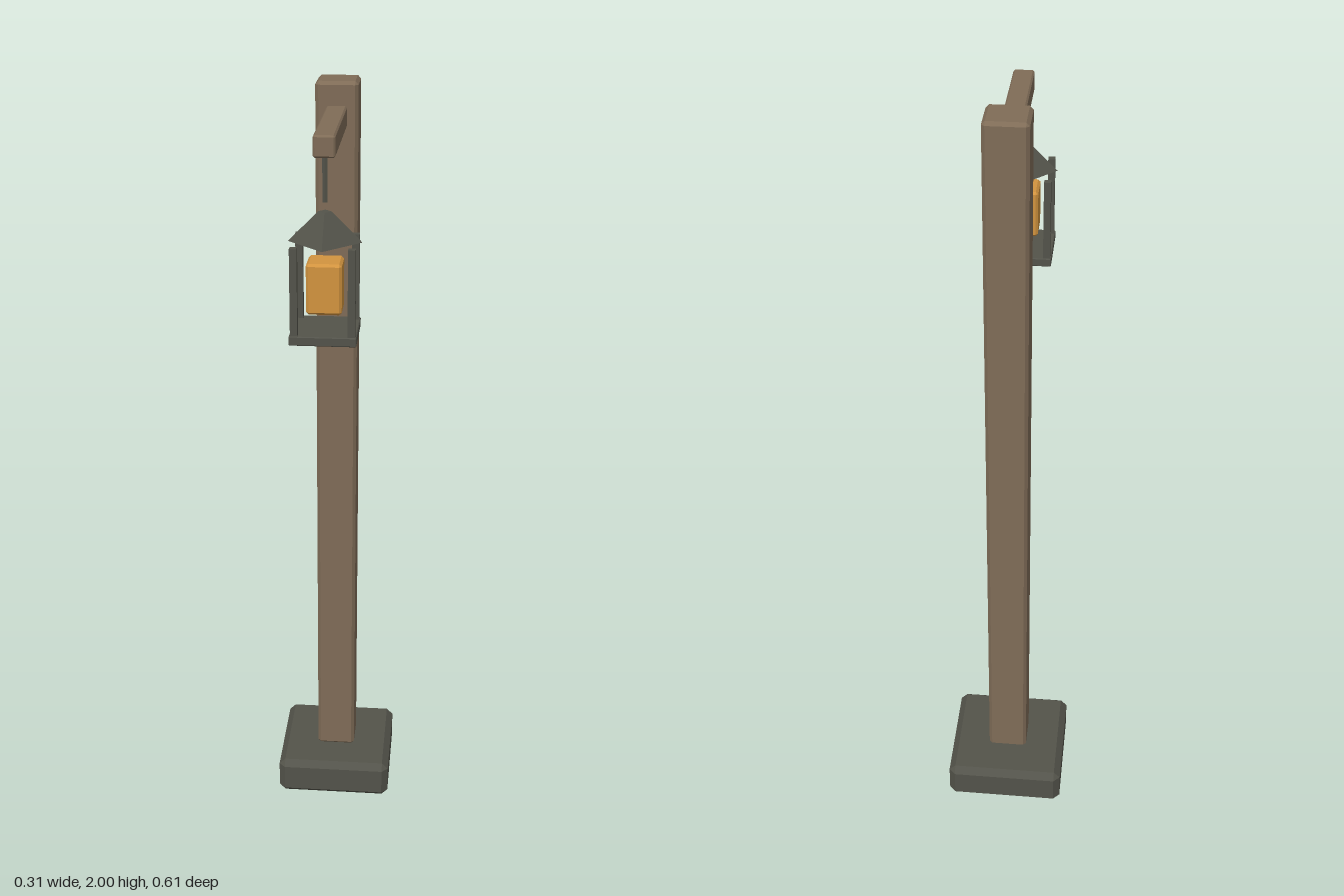
import * as THREE from 'three';
import { ConvexGeometry } from 'three/addons/geometries/ConvexGeometry.js';

// Box with every edge cut flat by c
function chamferBox(w, h, d, c) {
  const half = [w / 2, h / 2, d / 2];
  const points = [];
  for (const sx of [-1, 1]) for (const sy of [-1, 1]) for (const sz of [-1, 1]) {
    for (let axis = 0; axis < 3; axis++) {
      // one point per face meeting at this corner
      const p = half.map((v, i) => (i === axis ? v : v - c));
      points.push(new THREE.Vector3(p[0] * sx, p[1] * sy, p[2] * sz));
    }
  }
  return new ConvexGeometry(points);
}

export function createModel() {
  const model = new THREE.Group();
  model.name = 'lanternPost';

  const material = (name, color) => {
    const m = new THREE.MeshStandardMaterial({ color });
    m.name = name;
    return m;
  };
  const wood = material('wood', 0x7f6c57);
  const iron = material('darkStoneAndIron', 0x53534a);
  const glow = material('amberGlow', 0xd2943f);
  iron.flatShading = true;

  const add = (parent, name, geometry, mat, x, y, z) => {
    const mesh = new THREE.Mesh(geometry, mat);
    mesh.name = name;
    mesh.position.set(x, y, z);
    parent.add(mesh);
    return mesh;
  };

  // Foot, post and arm
  add(model, 'base', chamferBox(0.312, 0.106, 0.312, 0.017), iron, 0, 0.053, -0.15);
  add(model, 'post', chamferBox(0.104, 1.894, 0.104, 0.008), wood, 0, 1.053, -0.149);
  add(model, 'arm', chamferBox(0.05, 0.05, 0.362, 0.004), wood, 0, 1.918, 0.061);

  // Hanging lantern
  const lantern = new THREE.Group();
  lantern.name = 'lantern';
  lantern.position.z = 0.217;
  model.add(lantern);

  add(lantern, 'hanger', new THREE.CylinderGeometry(0.0065, 0.0065, 0.108, 6), iron, 0, 1.844, 0);
  add(lantern, 'roof', new THREE.CylinderGeometry(0.015, 0.085, 0.07, 4), iron, 0, 1.734, 0);
  add(lantern, 'tray', chamferBox(0.155, 0.022, 0.155, 0.002), iron, 0, 1.486, 0);
  add(lantern, 'glowingCore', chamferBox(0.082, 0.12, 0.082, 0.006), glow, 0, 1.597, 0);

  const barGeometry = new THREE.BoxGeometry(0.017, 0.206, 0.017);
  for (const x of [-0.066, 0.066]) {
    for (const z of [-0.066, 0.066]) add(lantern, 'cornerBar', barGeometry, iron, x, 1.598, z);
  }

  return model;
}
